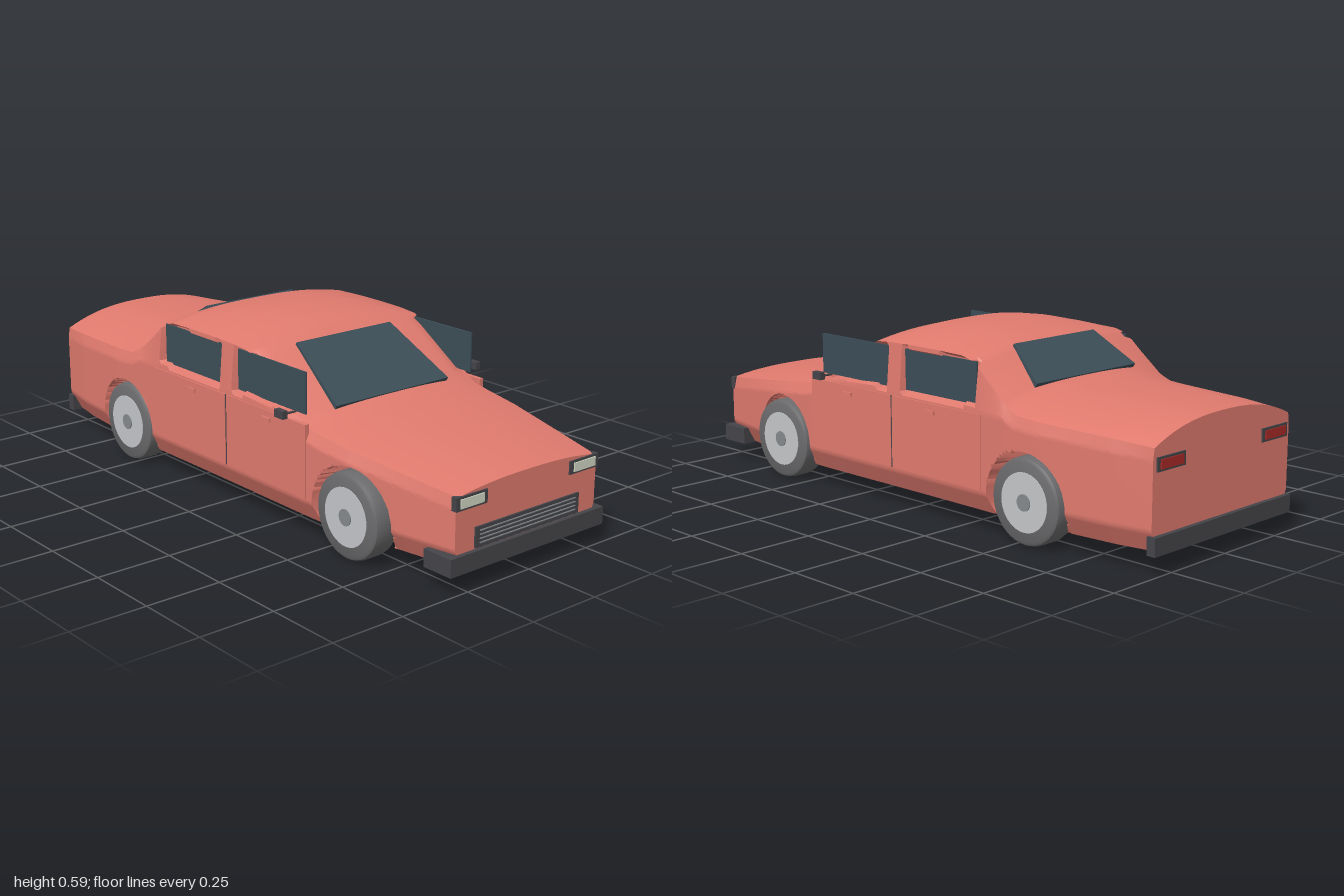
import * as THREE from 'three';
import { toCreasedNormals } from 'three/addons/utils/BufferGeometryUtils.js';

const mat = (color) => new THREE.MeshStandardMaterial({ color });
const red = mat(0xe07a6e), dark = mat(0x45454a), glassMat = mat(0x3c4e57), tyreMat = mat(0x6a6a6c);
const rimMat = mat(0xc4c6c9), hubMat = mat(0x85898c), lensMat = mat(0xd0d8c4), tailMat = mat(0xa82a26);
glassMat.side = THREE.DoubleSide;

const WHEELS = [0.61, -0.54], ARCH = 0.155;

// Body stations: z, centre top, edge top, half width at top edge, half width at belt
const KEYS = [
  [-0.985, 0.43, 0.37, 0.32, 0.325], [-0.85, 0.435, 0.378, 0.34, 0.35], [-0.6, 0.44, 0.385, 0.36, 0.372],
  [-0.5, 0.443, 0.392, 0.363, 0.375], [-0.46, 0.457, 0.41, 0.36, 0.375], [-0.38, 0.515, 0.475, 0.357, 0.373],
  [-0.32, 0.558, 0.525, 0.357, 0.372], [-0.27, 0.574, 0.54, 0.357, 0.372], [-0.16, 0.588, 0.543, 0.358, 0.371],
  [-0.05, 0.592, 0.543, 0.358, 0.371], [0.05, 0.584, 0.541, 0.357, 0.371], [0.12, 0.565, 0.536, 0.355, 0.371],
  [0.17, 0.54, 0.515, 0.353, 0.372], [0.41, 0.396, 0.362, 0.355, 0.372], [0.46, 0.384, 0.352, 0.354, 0.37],
  [0.6, 0.362, 0.335, 0.345, 0.36], [0.8, 0.335, 0.31, 0.315, 0.326], [0.985, 0.308, 0.288, 0.284, 0.292],
];

function stationAt(z) {
  let i = 0;
  while (i < KEYS.length - 2 && z > KEYS[i + 1][0]) i++;
  const a = KEYS[i], b = KEYS[i + 1], t = (z - a[0]) / (b[0] - a[0]);
  return a.map((v, k) => v + (b[k] - v) * t);
}

// Half cross-section from the floor centre up the side to the roof centre
function halfSection(z) {
  const [, top, edge, we, w] = stationAt(z), belt = Math.min(0.38, edge - 0.035), pts = [];
  const line = (x0, y0, x1, y1, n) => {
    for (let i = 0; i < n; i++) pts.push([x0 + (x1 - x0) * i / n, y0 + (y1 - y0) * i / n]);
  };
  line(0, 0.065, w - 0.035, 0.065, 5);
  line(w - 0.035, 0.065, w, 0.13, 6);
  line(w, 0.13, w, belt, 20);
  line(w, belt, we, edge, 12);
  for (let i = 0; i <= 12; i++) {
    const u = 1 - i / 12;
    pts.push([we * u, edge + (top - edge) * (1 - u ** 2.5)]);
  }
  return pts.map(([x, y]) => {
    let zz = z;
    // wheel arches
    for (const wz of WHEELS) {
      const d = Math.hypot(z - wz, y - 0.135);
      if (x > 0.27 && d < ARCH + 0.006) {
        if (d > ARCH - 0.006) {
          zz = wz + (z - wz) * ARCH / d;
          y = Math.max(0.065, 0.135 + (y - 0.135) * ARCH / d);
        } else x = 0.27;
      }
    }
    // window recesses
    const inWindow = (z > -0.325 && z < 0) || (z > 0.07 && z < 0.4);
    if (inWindow && y > 0.393 && y < 0.529) x = Math.min(x, 0.332);
    return [x, y, zz];
  });
}

function bodyGeometry() {
  const pos = [], idx = [], N = 164;
  let n = 0;
  for (let s = 0; s <= N; s++) {
    const half = halfSection(-0.985 + 1.97 * s / N);
    const ring = [...half, ...half.slice(1, -1).reverse().map(([x, y, z]) => [-x, y, z])];
    n = ring.length;
    ring.forEach((p) => pos.push(...p));
  }
  for (let s = 0; s < N; s++) for (let i = 0; i < n; i++) {
    const a = s * n + i, b = s * n + (i + 1) % n;
    idx.push(a, b, b + n, a, b + n, a + n);
  }
  // flat nose and tail
  for (const s of [0, N]) {
    const c = pos.length / 3;
    pos.push(0, 0.2, s ? 0.985 : -0.985);
    for (let i = 0; i < n; i++) {
      const a = s * n + i, b = s * n + (i + 1) % n;
      idx.push(c, ...(s ? [a, b] : [b, a]));
    }
  }
  const g = new THREE.BufferGeometry();
  g.setAttribute('position', new THREE.Float32BufferAttribute(pos, 3));
  g.setIndex(idx);
  return toCreasedNormals(g, 0.6);
}

export function createModel() {
  const car = new THREE.Group();
  car.name = 'car';
  const add = (name, geo, material) => {
    const m = new THREE.Mesh(geo, material);
    m.name = name;
    car.add(m);
    return m;
  };
  // Box given by its limits on each axis
  const box = (name, material, x0, x1, y0, y1, z0, z1) => {
    const m = add(name, new THREE.BoxGeometry(Math.abs(x1 - x0), y1 - y0, z1 - z0), material);
    m.position.set((x0 + x1) / 2, (y0 + y1) / 2, (z0 + z1) / 2);
    return m;
  };

  add('body', bodyGeometry(), red);

  // Sloped front and rear glass: trapezoid slabs
  const screen = (name, wLow, wHigh, yLow, zLow, yHigh, zHigh) => {
    const len = Math.hypot(yHigh - yLow, zHigh - zLow);
    const shape = new THREE.Shape([[-wLow, 0], [wLow, 0], [wHigh, len], [-wHigh, len]]
      .map(([x, y]) => new THREE.Vector2(x, y)));
    const geo = new THREE.ExtrudeGeometry(shape, { depth: 0.02, bevelEnabled: false });
    geo.translate(0, 0, -0.016);
    const m = add(name, geo, glassMat);
    const facing = Math.sign(zLow);
    m.rotation.order = 'YXZ';
    m.rotation.y = facing > 0 ? 0 : Math.PI;
    m.rotation.x = -Math.atan2(Math.abs(zLow - zHigh), yHigh - yLow);
    m.position.set(0, yLow, zLow);
  };
  screen('windshield', 0.235, 0.197, 0.397, 0.408, 0.539, 0.17);
  screen('rearWindow', 0.23, 0.185, 0.459, -0.458, 0.558, -0.318);

  // Parts mirrored left and right
  for (const s of [1, -1]) {
    const side = s > 0 ? 'left' : 'right';
    box(side + 'FrontWindow', glassMat, s * 0.343, s * 0.349, 0.395, 0.527, 0.07, 0.4);
    box(side + 'RearWindow', glassMat, s * 0.343, s * 0.349, 0.395, 0.527, -0.322, 0);
    box(side + 'FrontDoor', red, s * 0.36, s * 0.375, 0.14, 0.375, 0.039, 0.43);
    box(side + 'RearDoor', red, s * 0.36, s * 0.376, 0.14, 0.375, -0.365, 0.032);
    box(side + 'DoorGap', dark, s * 0.36, s * 0.3735, 0.14, 0.375, 0.032, 0.039);
    for (const z of [0.245, -0.145]) box(side + 'DoorHandle', red, s * 0.37, s * 0.381, 0.342, 0.354, z - 0.02, z + 0.02);

    // Mirror
    const arm = add(side + 'MirrorArm', new THREE.CylinderGeometry(0.004, 0.004, 0.05, 8), dark);
    arm.rotation.z = Math.PI / 2;
    arm.position.set(s * 0.375, 0.395, 0.355);
    box(side + 'Mirror', dark, s * 0.397, s * 0.416, 0.386, 0.411, 0.335, 0.375);

    // Lamps
    box(side + 'HeadlightFrame', dark, s * 0.172, s * 0.295, 0.248, 0.29, 0.97, 0.99);
    box(side + 'HeadlightLens', lensMat, s * 0.188, s * 0.28, 0.255, 0.283, 0.975, 0.994);
    box(side + 'TaillightFrame', dark, s * 0.185, s * 0.31, 0.3, 0.342, -0.99, -0.97);
    box(side + 'TaillightLens', tailMat, s * 0.197, s * 0.298, 0.307, 0.335, -0.994, -0.975);
    box(side + 'BumperWing', dark, s * 0.275, s * 0.32, 0.06, 0.116, 0.89, 0.975);

    // Wheels: lathed tyre, rim disc and hub
    for (const z of WHEELS) {
      const wheel = new THREE.Group();
      wheel.name = side + (z > 0 ? 'FrontWheel' : 'RearWheel');
      const profile = [[0.001, -0.045], [0.122, -0.045], [0.132, -0.039], [0.136, -0.025],
        [0.136, 0.025], [0.132, 0.039], [0.122, 0.045], [0.001, 0.045]].map(([r, y]) => new THREE.Vector2(r, y));
      const disc = (r, y, h) => new THREE.CylinderGeometry(r, r, h, 40).translate(0, y, 0);
      const parts = [
        ['tyre', toCreasedNormals(new THREE.LatheGeometry(profile, 40), 0.6), tyreMat],
        ['rim', disc(0.092, 0.04, 0.014), rimMat],
        ['hub', disc(0.026, 0.043, 0.014), hubMat],
      ];
      for (const [name, geo, material] of parts) {
        const m = new THREE.Mesh(geo, material);
        m.name = name;
        wheel.add(m);
      }
      wheel.rotation.z = -s * Math.PI / 2;
      wheel.position.set(s * 0.324, 0.136, z);
      car.add(wheel);
    }
  }

  // Bumpers and grille
  box('frontBumper', dark, -0.32, 0.32, 0.06, 0.116, 0.965, 1);
  box('rearBumper', dark, -0.327, 0.327, 0.06, 0.116, -1, -0.97);
  box('grille', dark, -0.216, 0.216, 0.12, 0.184, 0.97, 0.991);
  for (let i = 0; i < 4; i++) {
    const y = 0.133 + i * 0.0125;
    box('grilleBar', hubMat, -0.2, 0.2, y, y + 0.003, 0.985, 0.994);
  }
  return car;
}
